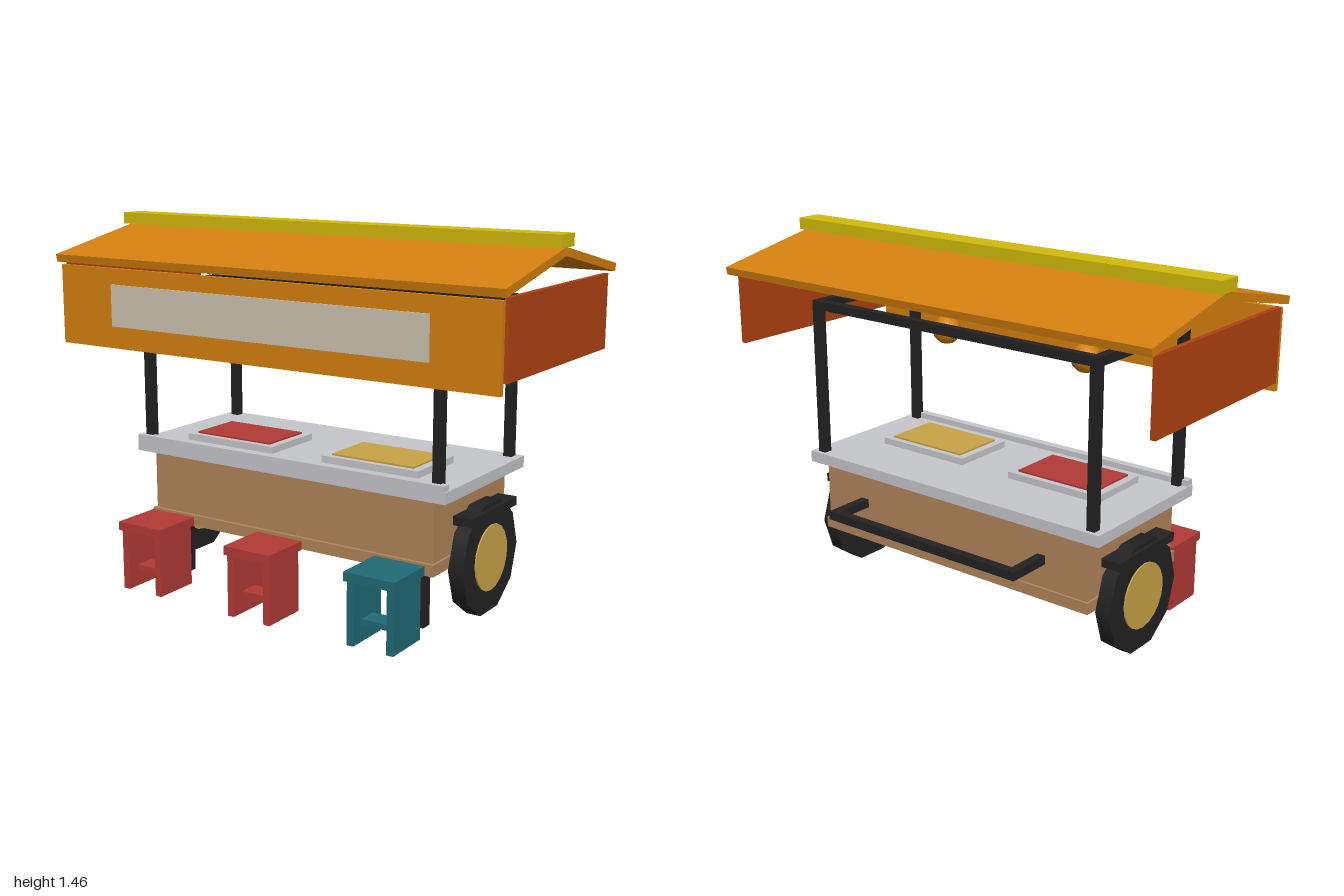
import * as THREE from 'three';

const mat = (name, color, extra = {}) => new THREE.MeshStandardMaterial({ name, color, ...extra });

export function createModel() {
  const orange = mat('orange', 0xd4800f);
  const rust = mat('rust', 0xb04210);
  const yellow = mat('yellow', 0xd2ba0c);
  const cream = mat('cream', 0xcdc4b0);
  const silver = mat('silver', 0xc6c7cc);
  const black = mat('black', 0x222222);
  const red = mat('red', 0xb23a36);
  const teal = mat('teal', 0x216b78);
  const wood = mat('wood', 0xb0855a);
  const mustard = mat('mustard', 0xc9a447);

  const cart = new THREE.Group();
  cart.name = 'streetFoodCart';

  const add = (name, geo, material, x, y, z, parent = cart) => {
    const m = new THREE.Mesh(geo, material);
    m.name = name;
    m.position.set(x, y, z);
    parent.add(m);
    return m;
  };
  // Box given by its minimum and maximum on each axis
  const box = (name, material, [x0, x1], [y0, y1], [z0, z1], parent = cart) =>
    add(name, new THREE.BoxGeometry(x1 - x0, y1 - y0, z1 - z0), material,
      (x0 + x1) / 2, (y0 + y1) / 2, (z0 + z1) / 2, parent);

  // Body and counter
  box('body', wood, [-0.65, 0.65], [0.26, 0.53], [-0.32, 0.25]);
  box('skirt', wood, [-0.66, 0.66], [0.235, 0.28], [-0.33, 0.265]);
  box('counter', silver, [-0.715, 0.715], [0.52, 0.565], [-0.352, 0.285]);
  box('frontRail', silver, [-0.71, 0.71], [0.553, 0.588], [0.253, 0.288]);

  // Food trays
  for (const [x, food] of [[-0.328, red], [0.328, mustard]]) {
    box('tray', silver, [x - 0.212, x + 0.212], [0.56, 0.592], [-0.1, 0.175]);
    box('food', food, [x - 0.18, x + 0.18], [0.59, 0.599], [-0.075, 0.15]);
  }

  // Posts and the top frame
  const beam = 0.0175, zFront = 0.25, zBack = -0.318, xPost = 0.668, frameTop = 1.2;
  for (const x of [-xPost, xPost]) {
    for (const z of [zFront, zBack])
      box('post', black, [x - beam, x + beam], [0.56, frameTop], [z - beam, z + beam]);
    box('sideBeam', black, [x - beam, x + beam], [frameTop - 0.035, frameTop], [zBack, zFront]);
  }
  for (const z of [zFront, zBack])
    box('longBeam', black, [-xPost, xPost], [frameTop - 0.035, frameTop], [z - beam, z + beam]);

  // Roof slopes, each running from the ridge down to an eave
  const ridge = new THREE.Vector2(-0.037, 1.4);
  for (const [name, z] of [['frontRoof', 0.426], ['backRoof', -0.5]]) {
    const eave = new THREE.Vector2(z, 1.304);
    const d = eave.clone().sub(ridge);
    const slab = add(name, new THREE.BoxGeometry(1.99, 0.031, d.length()), orange,
      0, (ridge.y + eave.y) / 2, (ridge.x + eave.x) / 2);
    slab.rotation.x = -Math.atan(d.y / d.x);
  }
  box('ridgeCap', yellow, [-1, 1], [1.415, 1.462], [-0.09, 0.016]);

  // Hanging panels
  box('frontValance', orange, [-0.978, 0.978], [0.962, 1.278], [0.394, 0.414]);
  box('signPlate', cream, [-0.712, 0.712], [1.05, 1.215], [0.414, 0.421]);
  for (const s of [-1, 1])
    add('sidePanel', new THREE.BoxGeometry(0.02, 0.285, 0.83), rust, s * 0.977, 1.143, -0.035);

  // Hanging lamps
  for (const x of [-0.345, 0.345]) {
    add('lampCord', new THREE.CylinderGeometry(0.012, 0.012, 0.11, 6), black, x, 1.14, 0.085);
    add('lamp', new THREE.SphereGeometry(0.06, 8, 6), orange, x, 1.05, 0.085);
  }

  // Wheels, mudguards and axle
  const axleY = 0.232, axleZ = -0.063;
  const disc = (r, w, n) => new THREE.CylinderGeometry(r, r, w, n).rotateZ(Math.PI / 2);
  const tyreGeo = disc(0.225, 0.06, 10).rotateX(0);
  const hubGeo = disc(0.13, 0.072, 20);
  const tyreMat = black.clone();
  tyreMat.flatShading = true;
  for (const s of [-1, 1]) {
    const wheel = new THREE.Group();
    wheel.name = s > 0 ? 'leftWheel' : 'rightWheel';
    wheel.position.set(s * 0.695, axleY, axleZ);
    cart.add(wheel);
    add('tyre', tyreGeo, black, 0, 0, 0, wheel);
    add('hub', hubGeo, mustard, 0, 0, 0, wheel);
    add('mudguard', new THREE.BoxGeometry(0.08, 0.034, 0.366), black, s * 0.699, 0.412, -0.063);
  }
  add('axle', disc(0.017, 1.34, 8), black, 0, 0.228, axleZ);

  // Front support legs
  for (const s of [-1, 1])
    add('supportLeg', new THREE.BoxGeometry(0.045, 0.25, 0.046), black, s * 0.562, 0.125, 0.171);

  // Push handle at the back
  box('handleBar', black, [-0.462, 0.462], [0.376, 0.41], [-0.508, -0.473]);
  for (const s of [-1, 1])
    add('handleArm', new THREE.BoxGeometry(0.035, 0.034, 0.19), black, s * 0.4445, 0.393, -0.405);

  // Stools
  for (const [x, z, material] of [[-0.536, 0.39, red], [0, 0.4, red], [0.53, 0.39, teal]]) {
    const stool = new THREE.Group();
    stool.name = 'stool';
    stool.position.set(x, 0, z);
    cart.add(stool);
    add('seat', new THREE.BoxGeometry(0.212, 0.035, 0.21), material, 0, 0.262, 0, stool);
    for (const s of [-1, 1])
      add('stoolSide', new THREE.BoxGeometry(0.028, 0.25, 0.19), material, s * 0.083, 0.125, 0, stool);
    add('stoolRung', new THREE.BoxGeometry(0.15, 0.022, 0.08), material, 0, 0.077, 0, stool);
  }
  return cart;
}
